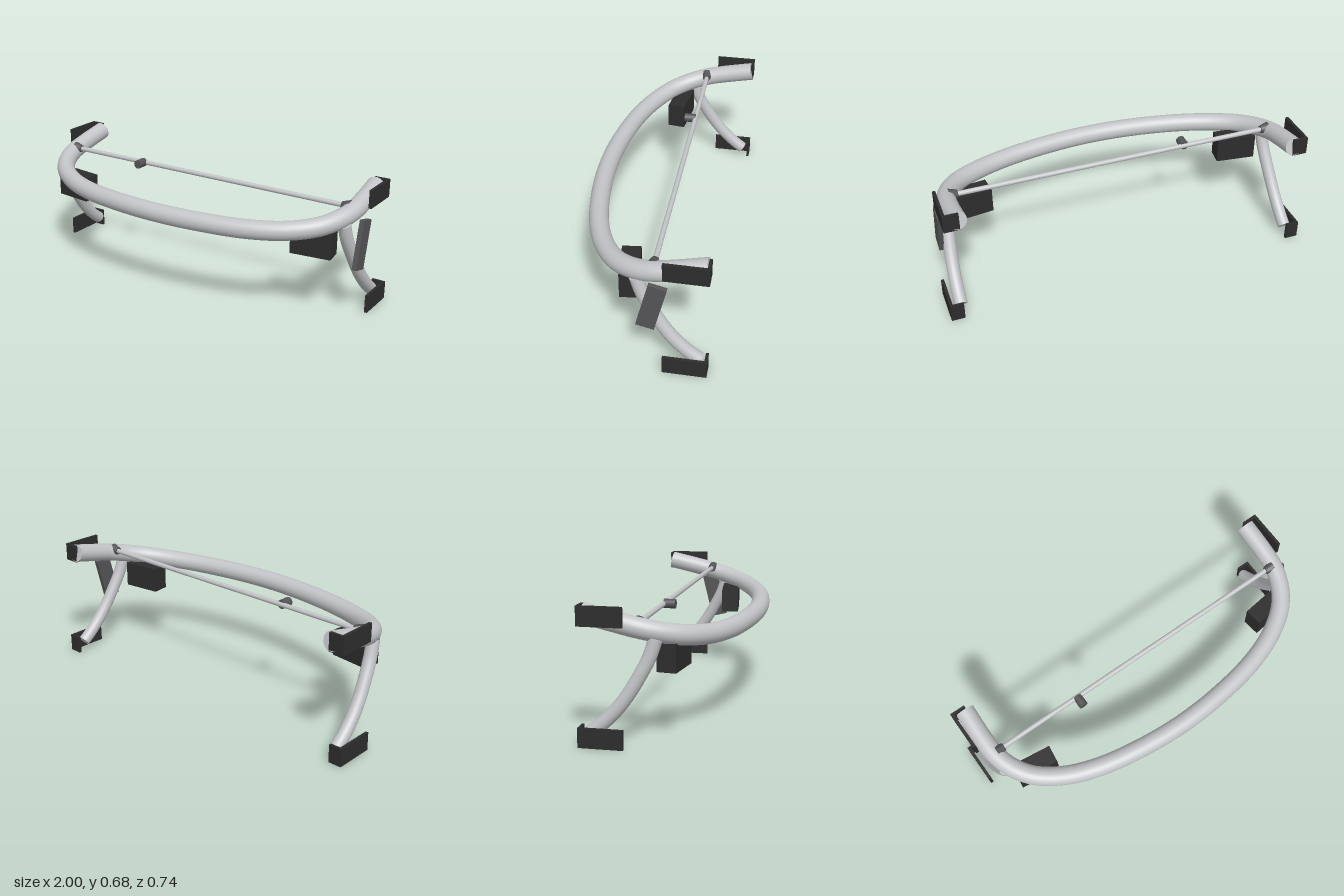
import * as THREE from 'three';

const mat = (name, color) => {
  const m = new THREE.MeshStandardMaterial({ color });
  m.name = name;
  return m;
};

export function createModel() {
  const root = new THREE.Group();
  root.name = 'bumperGuard';
  const steel = mat('brushed steel', 0xc3c4c7);
  const black = mat('black metal', 0x2d2d2d);
  const gray = mat('dark gray', 0x555557);

  const add = (name, geo, m, x = 0, y = 0, z = 0) => {
    const mesh = new THREE.Mesh(geo, m);
    mesh.name = name;
    mesh.position.set(x, y, z);
    root.add(mesh);
    return mesh;
  };

  // Round tube along a smooth path, closed by a flat disc at each end
  const addTube = (name, points, radius, segments) => {
    const curve = new THREE.CatmullRomCurve3(points.map(p => new THREE.Vector3(...p)), false, 'centripetal');
    add(name, new THREE.TubeGeometry(curve, segments, radius, 28), steel);
    for (const t of [0, 1]) {
      const cap = add(name + 'Cap', new THREE.CircleGeometry(radius, 28), steel);
      cap.position.copy(curve.getPoint(t));
      const out = curve.getTangent(t).multiplyScalar(t ? 1 : -1);
      cap.quaternion.setFromUnitVectors(new THREE.Vector3(0, 0, 1), out);
    }
  };

  // Main bowed tube, mirrored from its left half
  const half = [
    [0.912, 0.628, -0.36], [0.916, 0.592, -0.2], [0.911, 0.569, -0.1], [0.88, 0.545, 0],
    [0.81, 0.522, 0.1], [0.68, 0.504, 0.19], [0.5, 0.496, 0.258], [0.25, 0.495, 0.304],
  ];
  const mirrored = half.map(([x, y, z]) => [-x, y, z]).reverse();
  addTube('mainTube', [...half, [0, 0.495, 0.32], ...mirrored], 0.05, 140);

  for (const s of [1, -1]) {
    const side = s > 0 ? 'left' : 'right';

    // Curved leg
    addTube(side + 'Leg', [
      [s * 0.905, 0.52, -0.012], [s * 0.912, 0.43, -0.042], [s * 0.921, 0.34, -0.088],
      [s * 0.929, 0.25, -0.142], [s * 0.934, 0.17, -0.203], [s * 0.936, 0.1, -0.274], [s * 0.936, 0.06, -0.325],
    ], 0.034, 40);

    // L-shaped mounting brackets: outer plate and rear lip
    for (const [label, outer, y, lip] of [['Upper', 0.984, 0.625, 0.082], ['Lower', 1, 0.049, 0.072]]) {
      add(side + label + 'BracketPlate', new THREE.BoxGeometry(0.016, 0.097, 0.22), black, s * (outer - 0.008), y, -0.26);
      add(side + label + 'BracketLip', new THREE.BoxGeometry(lip, 0.097, 0.014), black, s * (outer - lip / 2), y, -0.363);
    }

    // Angled block under the main tube
    const block = add(side + 'Block', new THREE.BoxGeometry(0.217, 0.14, 0.096), black, s * 0.768, 0.422, 0.043);
    block.rotation.y = s * 0.125;

    // Tapered socket holding the cross bar
    const socket = add(side + 'Socket', new THREE.CylinderGeometry(0.02, 0.034, 0.045, 20), gray, s * 0.873, 0.588, -0.094);
    socket.rotation.z = s * Math.PI / 2;
  }

  // Thin cross bar with its round fitting
  const bar = add('crossBar', new THREE.CylinderGeometry(0.013, 0.013, 1.74, 20), steel, 0, 0.588, -0.096);
  bar.rotation.z = Math.PI / 2;
  const fitting = add('barFitting', new THREE.CylinderGeometry(0.024, 0.024, 0.06, 24), gray, -0.395, 0.588, -0.067);
  fitting.rotation.x = Math.PI / 2;

  // Tilted plate on the left leg
  const plate = add('sidePlate', new THREE.BoxGeometry(0.025, 0.26, 0.092), gray, 0.968, 0.398, -0.096);
  plate.rotation.x = -0.242;

  return root;
}
